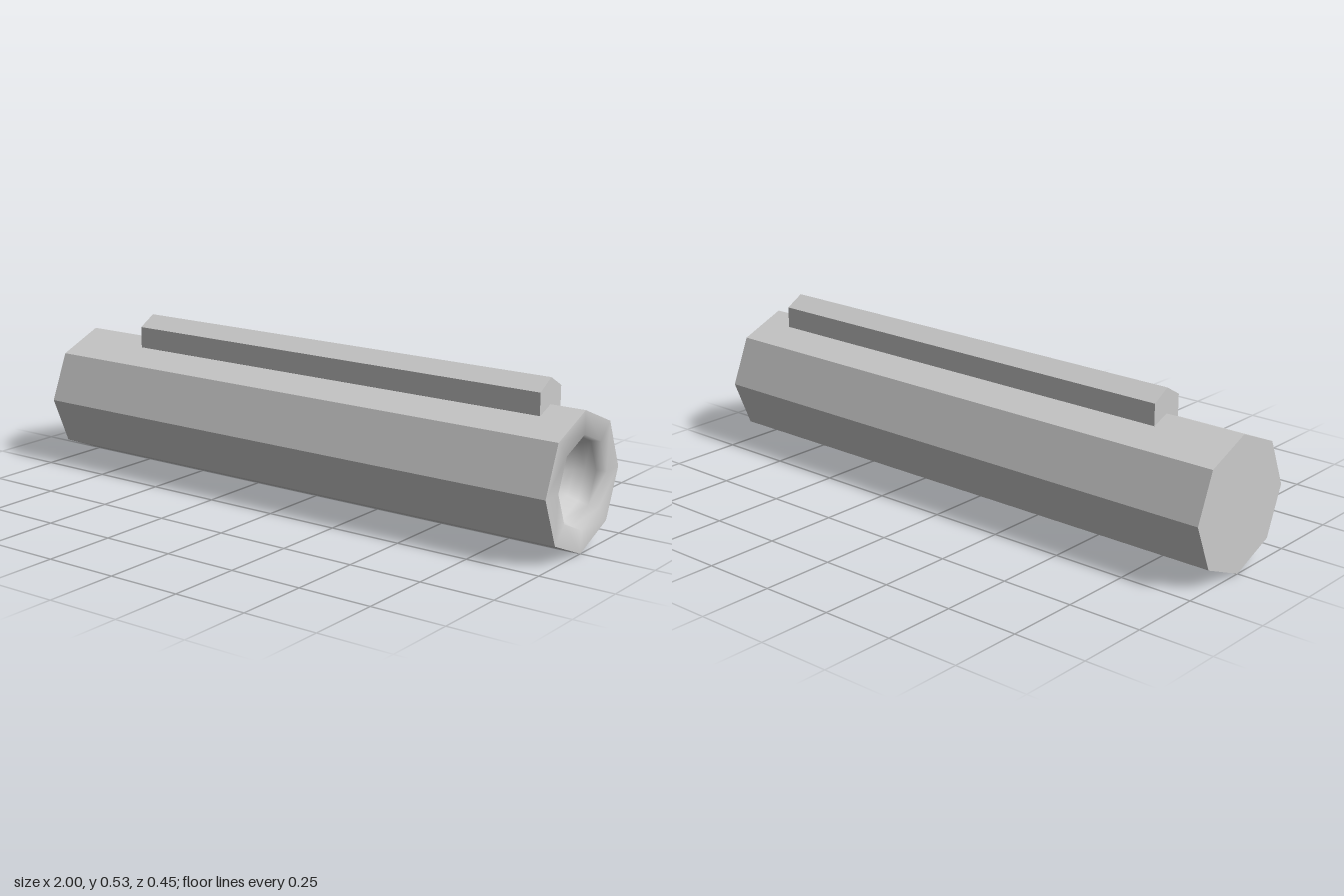
import * as THREE from 'three';

export function createModel() {
  const group = new THREE.Group();
  const flat = new THREE.MeshStandardMaterial({ color: 0xcccccc, flatShading: true });
  const smooth = new THREE.MeshStandardMaterial({ color: 0xcccccc });
  const R = 0.225, BORE = 0.15, DEPTH = 0.13;

  // Lays a geometry built along y onto the x axis
  const add = (name, geometry, material, x, y) => {
    geometry.rotateZ(-Math.PI / 2);
    const mesh = new THREE.Mesh(geometry, material);
    mesh.name = name;
    mesh.position.set(x, y, 0);
    group.add(mesh);
  };
  const profile = (pts) => pts.map(([r, y]) => new THREE.Vector2(r, y));

  // Octagonal tube, closed at the left-hand end of the x axis
  add('body', new THREE.LatheGeometry(profile([[0, -1], [R, -1], [R, 1]]), 8), flat, 0, R + 0.001);

  // Flat rim running into a smooth hollow at the open end
  const hollow = [[R, 1], [BORE, 1]];
  for (let i = 1; i <= 6; i++) {
    const a = (i / 6) * Math.PI / 2;
    hollow.push([i === 6 ? 0 : BORE * Math.cos(a), 1 - DEPTH * Math.sin(a)]);
  }
  add('muzzleHollow', new THREE.LatheGeometry(profile(hollow), 8), smooth, 0, R + 0.001);

  // Hexagonal rail sunk into the top ridge
  add('topRail', new THREE.CylinderGeometry(0.0717, 0.0717, 1.6, 6, 1, false, Math.PI / 2), flat, 0.08, 0.463);

  return group;
}
